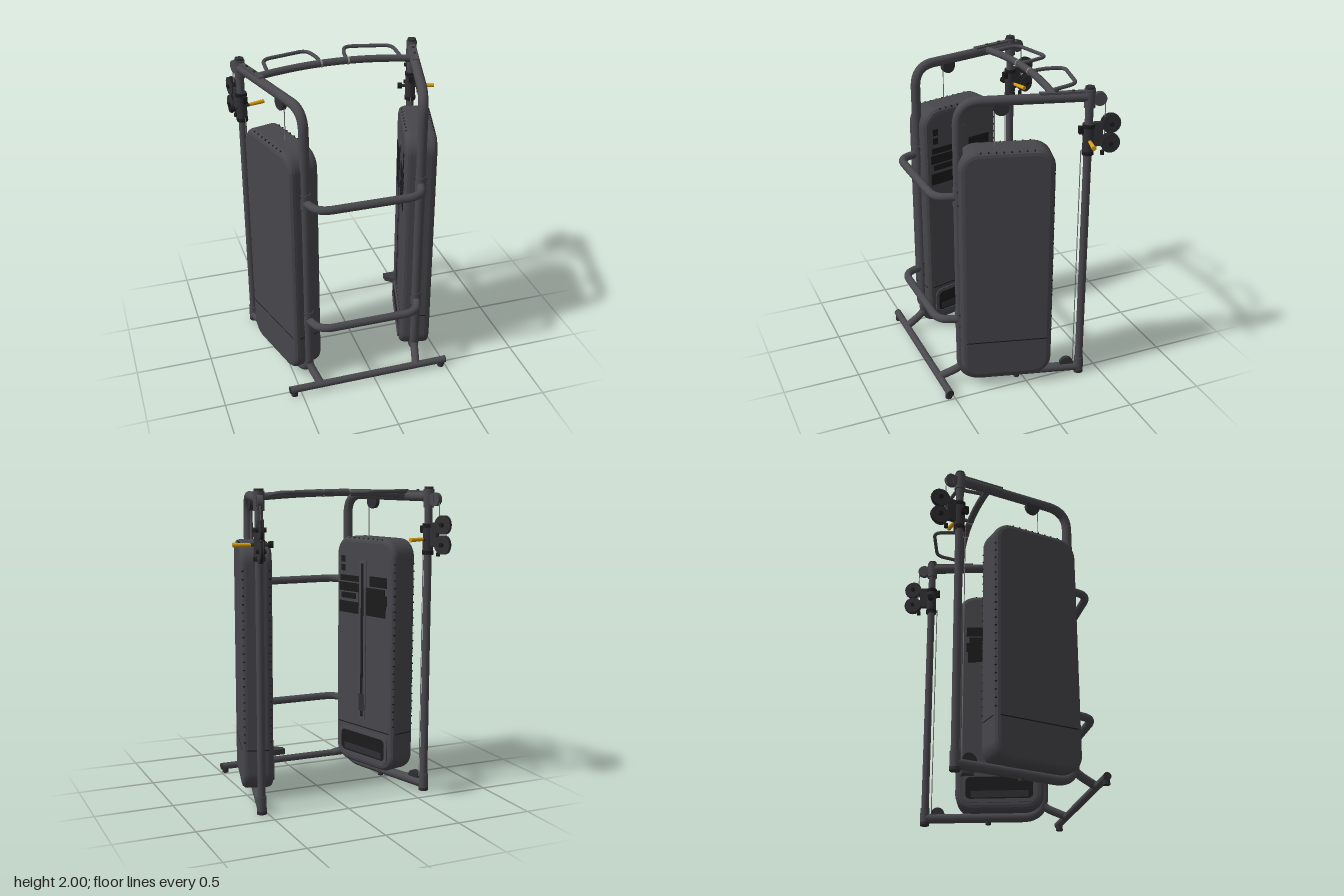
import * as THREE from 'three';

const V = (x, y, z) => new THREE.Vector3(x, y, z);
const mat = (name, color, double) => {
  const m = new THREE.MeshStandardMaterial({ color });
  m.name = name;
  if (double) m.side = THREE.DoubleSide;
  return m;
};

export function createModel() {
  const frame = mat('frame grey', 0x49494e);
  const cover = mat('cover grey', 0x47464b);
  const dark = mat('dark grey', 0x303034);
  const black = mat('black', 0x1b1b1d);
  const yellow = mat('grip yellow', 0xd9a00f);
  const metal = mat('collar metal', 0x8d8982);
  const cable = mat('cable grey', 0x77777a);

  const CX = -0.04; // mirror plane of the frame
  const model = new THREE.Group();
  model.name = 'cableMachine';

  const add = (parent, name, geo, material, pos) => {
    const m = new THREE.Mesh(geo, material);
    m.name = name;
    if (pos) m.position.set(...pos);
    parent.add(m);
    return m;
  };
  const box = (p, name, m, w, h, d, x, y, z) => add(p, name, new THREE.BoxGeometry(w, h, d), m, [x, y, z]);
  // Cylinder between two points
  const rod = (p, name, m, r, a, b, sides = 18, r2 = r) => {
    const dir = b.clone().sub(a);
    const mesh = add(p, name, new THREE.CylinderGeometry(r2, r, dir.length(), sides), m);
    mesh.position.copy(a).add(b).multiplyScalar(0.5);
    mesh.quaternion.setFromUnitVectors(V(0, 1, 0), dir.normalize());
    return mesh;
  };
  // Tube along corner points, each inner corner rounded
  const pipe = (p, name, m, r, pts, bend, segs = 90) => {
    const path = new THREE.CurvePath();
    let last = pts[0];
    for (let i = 1; i < pts.length - 1; i++) {
      const c = pts[i];
      const step = (t) => {
        const d = t.clone().sub(c);
        return c.clone().add(d.setLength(Math.min(bend, d.length() * 0.48)));
      };
      const a = step(pts[i - 1]), b = step(pts[i + 1]);
      path.add(new THREE.LineCurve3(last, a));
      path.add(new THREE.QuadraticBezierCurve3(a, c, b));
      last = b;
    }
    path.add(new THREE.LineCurve3(last, pts[pts.length - 1]));
    return add(p, name, new THREE.TubeGeometry(path, segs, r, 14), m);
  };
  const roundRect = (S, z0, z1, y0, y1, r) => {
    const s = new S();
    s.moveTo(z0 + r, y0).lineTo(z1 - r, y0).absarc(z1 - r, y0 + r, r, -Math.PI / 2, 0, false);
    s.lineTo(z1, y1 - r).absarc(z1 - r, y1 - r, r, 0, Math.PI / 2, false);
    s.lineTo(z0 + r, y1).absarc(z0 + r, y1 - r, r, Math.PI / 2, Math.PI, false);
    s.lineTo(z0, y0 + r).absarc(z0 + r, y0 + r, r, Math.PI, Math.PI * 1.5, false);
    return s;
  };
  // Upright plate: outline in z and y, thickness along x, centred on x = 0
  const slab = (shape, depth, bevel = 0) => {
    const g = new THREE.ExtrudeGeometry(shape, {
      depth: depth - 2 * bevel, curveSegments: 10, bevelEnabled: bevel > 0,
      bevelSize: bevel, bevelThickness: bevel, bevelOffset: -bevel, bevelSegments: 3,
    });
    g.translate(0, 0, bevel - depth / 2);
    return g.rotateY(-Math.PI / 2);
  };

  // One tower: local z runs from rear post to front tube, local x across it
  const tower = (side) => {
    const t = new THREE.Group();
    t.name = side > 0 ? 'leftTower' : 'rightTower';
    t.position.set(CX + side * 0.575, 0, -0.367);
    t.rotation.y = -side * THREE.MathUtils.degToRad(15.2);
    model.add(t);

    // Rear post and bent frame loop
    rod(t, 'rearPost', frame, 0.025, V(0, 0.02, 0), V(0, 1.97, 0));
    rod(t, 'postFoot', dark, 0.031, V(0, 0, 0), V(0, 0.02, 0));
    rod(t, 'postFootSleeve', frame, 0.031, V(0, 0.02, 0), V(0, 0.115, 0));
    rod(t, 'postTopSleeve', frame, 0.034, V(0, 1.87, 0), V(0, 1.985, 0));
    rod(t, 'postCap', dark, 0.028, V(0, 1.985, 0), V(0, 2, 0));
    pipe(t, 'frameLoop', frame, 0.031,
      [V(0, 1.938, 0), V(0, 1.938, 0.785), V(0, 0.045, 0.785), V(0, 0.045, 0)], 0.14, 150);
    box(t, 'beamPlate', frame, 0.036, 0.014, 0.28, 0, 1.968, 0.16);
    for (const z of [0.1, 0.2]) rod(t, 'beamBolt', dark, 0.01, V(0, 1.97, z), V(0, 1.982, z), 8);
    pipe(t, 'frontLeg', frame, 0.026, [V(0, 0.14, 0.77), V(0, 0.1, 0.81), V(0, 0.045, 0.935)], 0.04, 24);
    rod(t, 'middleFoot', dark, 0.018, V(0, 0, 0.42), V(0, 0.03, 0.42), 12);
    for (const y of [0.48, 1.34]) {
      rod(t, 'braceSleeve', frame, 0.035, V(0, y - 0.06, 0.785), V(0, y + 0.06, 0.785));
      for (const dy of [-0.045, 0.045])
        rod(t, 'sleeveBolt', dark, 0.008, V(-0.037, y + dy, 0.79), V(0.037, y + dy, 0.79), 8);
    }

    // Weight stack cover with seam and vent slots
    const z0 = 0.205, z1 = 0.79, y0 = 0.07, y1 = 1.655;
    add(t, 'stackCover', slab(roundRect(THREE.Shape, z0, z1, y0, y1, 0.12), 0.2, 0.035), cover);
    const h = 0.1006, c = 0.034, seam = new THREE.Shape();
    const e0 = -z1 - 0.0006, e1 = -z0 + 0.0006;
    [[-h, e0 + c], [-h + c, e0], [h - c, e0], [h, e0 + c], [h, e1 - c], [h - c, e1], [-h + c, e1], [-h, e1 - c]]
      .forEach(([x, y], i) => (i ? seam.lineTo(x, y) : seam.moveTo(x, y)));
    const seamGeo = new THREE.ExtrudeGeometry(seam, { depth: 0.007, bevelEnabled: false }).rotateX(-Math.PI / 2);
    add(t, 'coverSeam', seamGeo, black, [0, 0.342, 0]);
    for (const x of [-0.062, 0.062]) {
      for (let i = 0; i < 22; i++) box(t, 'rearVent', black, 0.055, 0.008, 0.016, x, 0.4 + i * 0.052, z0 + 0.0115);
      for (let i = 0; i < 8; i++) box(t, 'topVent', black, 0.055, 0.016, 0.008, x, y1 - 0.0115, z0 + 0.13 + i * 0.046);
    }

    // Inner face: selector slot, placard and window
    const fx = -side * 0.1;
    const panel = (name, m, a, b, lo, hi, th = 0.005) =>
      box(t, name, m, th, hi - lo, b - a, fx, (lo + hi) / 2, (a + b) / 2);
    [[0.28, 0.75, 1.13, 1.21], [0.27, 0.55, 1.21, 1.28], [0.58, 0.73, 1.23, 1.27], [0.29, 0.47, 1.28, 1.32],
      [0.5, 0.75, 1.28, 1.34], [0.27, 0.44, 1.33, 1.4], [0.53, 0.74, 1.35, 1.39]]
      .forEach((r) => panel('placard', black, ...r));
    for (const y of [1.44, 1.5]) panel('smallPlacard', black, 0.69, 0.73, y - 0.022, y + 0.022);
    panel('selectorTrack', frame, 0.475, 0.545, 0.4, 1.5, 0.01);
    panel('selectorSlot', black, 0.498, 0.522, 0.42, 1.48, 0.014);
    panel('selectorPin', dark, 0.487, 0.533, 0.46, 0.58, 0.024);
    const rim = roundRect(THREE.Shape, 0.25, 0.745, 0.12, 0.32, 0.05);
    rim.holes.push(roundRect(THREE.Path, 0.275, 0.72, 0.145, 0.295, 0.035));
    add(t, 'windowRim', slab(rim, 0.016), frame, [fx, 0, 0]);
    add(t, 'window', slab(roundRect(THREE.Shape, 0.27, 0.725, 0.14, 0.3, 0.035), 0.004), black, [fx, 0, 0]);
    panel('windowLedge', dark, 0.31, 0.69, 0.155, 0.2, 0.008);

    // Guide pulleys and cables
    const wheel = (name, r, w, y, z, m = dark) => rod(t, name, m, r, V(-w / 2, y, z), V(w / 2, y, z), 24);
    wheel('beamPulley', 0.048, 0.03, 1.895, 0.525);
    wheel('rearPulley', 0.042, 0.03, 1.922, -0.06, frame);
    box(t, 'rearPulleyBracket', frame, 0.04, 0.06, 0.06, 0, 1.925, -0.025);
    wheel('lowerPulley', 0.045, 0.03, 0.073, 0.085);
    rod(t, 'stackCable', cable, 0.003, V(0, 1.64, 0.565), V(0, 1.9, 0.565), 6);
    rod(t, 'postCable', cable, 0.003, V(0, 0.08, 0.042), V(0, 1.6, 0.042), 6);
    rod(t, 'rearCable', cable, 0.003, V(0, 1.7, -0.1), V(0, 1.92, -0.095), 6);

    // Sliding carriage with grip, knob and swivel pulleys
    rod(t, 'carriageSleeve', dark, 0.034, V(0, 1.57, 0), V(0, 1.77, 0));
    for (const y of [1.585, 1.755]) rod(t, 'carriageRing', black, 0.037, V(0, y - 0.012, 0), V(0, y + 0.012, 0));
    box(t, 'carriageLatch', black, 0.03, 0.045, 0.03, 0, 1.73, 0.045);
    rod(t, 'gripStem', dark, 0.011, V(0.02, 1.67, 0), V(0.06, 1.67, 0), 12);
    rod(t, 'grip', yellow, 0.011, V(0.05, 1.67, 0), V(0.158, 1.67, 0), 14, 0.014);
    rod(t, 'knobStem', dark, 0.01, V(-0.06, 1.67, 0), V(-0.02, 1.67, 0), 12);
    rod(t, 'knob', black, 0.02, V(-0.085, 1.67, 0), V(-0.055, 1.67, 0), 14);
    box(t, 'swivelArm', dark, 0.028, 0.15, 0.06, 0, 1.7, -0.055);
    for (const y of [1.765, 1.64]) {
      wheel('swivelAxle', 0.014, 0.06, y, -0.136, black);
      for (const k of [-1, 0, 1]) {
        const d = wheel('swivelDisc', k ? 0.06 : 0.056, k ? 0.005 : 0.012, y, -0.136, k ? dark : black);
        d.position.x = k * 0.014;
        d.rotateX(-k * 0.13);
      }
    }
    rod(t, 'cableStop', black, 0.013, V(0, 1.565, -0.09), V(0, 1.59, -0.09), 12);
  };
  tower(1);
  tower(-1);

  // Accessory shelf on one tower
  const tri = new THREE.Shape();
  tri.moveTo(0.295, 0.165).lineTo(0.295, 0.122).lineTo(0.355, 0.065).lineTo(0.42, 0.1).lineTo(0.41, 0.165);
  const shelf = new THREE.ExtrudeGeometry(tri, { depth: 0.035, bevelEnabled: false }).rotateX(-Math.PI / 2);
  shelf.index || shelf.computeVertexNormals();
  add(model, 'accessoryShelf', shelf, mat('shelf grey', 0x3b3b3f, true), [0, 0.3, 0]);

  // Top cross bar, gently bowed
  const bow = new THREE.QuadraticBezierCurve3(V(CX - 0.52, 1.942, -0.168), V(CX, 1.99, -0.25), V(CX + 0.52, 1.942, -0.168));
  add(model, 'topCrossBar', new THREE.TubeGeometry(bow, 40, 0.023, 16), frame);

  for (const s of [1, -1]) {
    // Pull-up grips
    const g = (x, y, z) => V(CX + s * x, y, z);
    pipe(model, 'pullUpGrip', frame, 0.012,
      [g(0.09, 1.965, -0.2), g(0.088, 1.972, -0.3), g(0.128, 1.975, -0.425), g(0.43, 1.975, -0.355), g(0.437, 1.955, -0.18)], 0.055, 80);
    rod(model, 'gripCollar', metal, 0.0245, g(0.083, 1.9645, -0.2075), g(0.094, 1.964, -0.207), 16);
    // Foot bar ends
    rod(model, 'footBarCap', dark, 0.024, g(0.535, 0.045, 0.533), g(0.541, 0.045, 0.533));
    rod(model, 'footBarFoot', dark, 0.022, g(0.51, 0, 0.535), g(0.51, 0.035, 0.535));
  }
  rod(model, 'footBar', frame, 0.0235, V(CX - 0.535, 0.045, 0.533), V(CX + 0.535, 0.045, 0.533));

  // Front braces joining the towers
  for (const y of [0.48, 1.34])
    pipe(model, 'frontBrace', frame, 0.026,
      [V(CX - 0.375, y, 0.385), V(CX - 0.325, y, 0.53), V(CX + 0.325, y, 0.53), V(CX + 0.375, y, 0.385)], 0.09, 70);

  return model;
}
